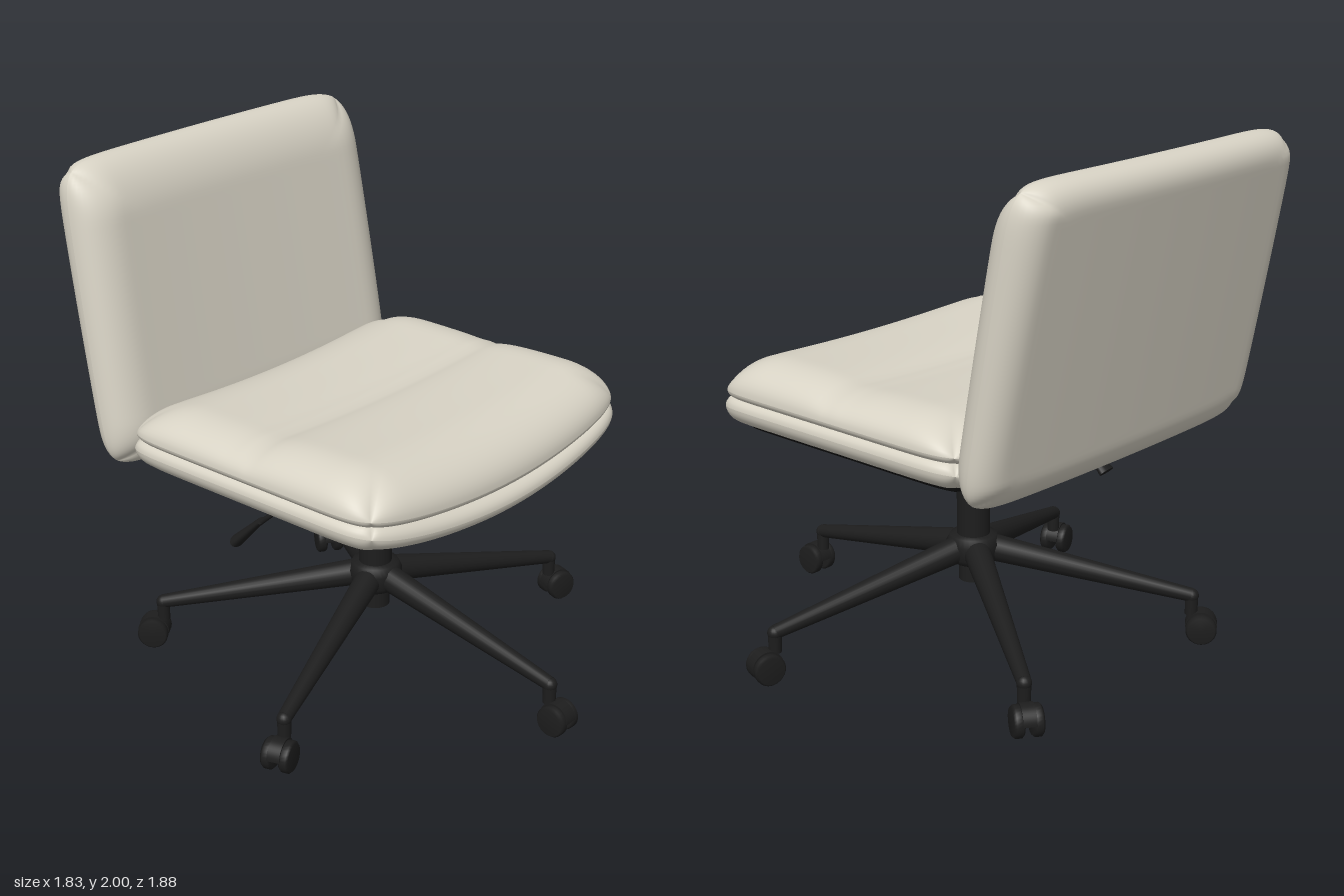
import * as THREE from 'three';

const mat = (name, color, side = THREE.FrontSide) => {
  const m = new THREE.MeshStandardMaterial({ color, side });
  m.name = name;
  return m;
};

// Quarter-round edge: 0 at the rim, 1 once past the rounding
const round = (d) => (d >= 1 ? 1 : Math.sqrt(Math.max(0, 1 - (1 - d) * (1 - d))));

// One half of a stuffed pad: a rounded-square grid that bulges by H, then is bent by warp(x, y, z, bulge)
function padHalf(a, b, n, H, rx, rz, warp) {
  const N = 52, pos = [], idx = [];
  const at = (i) => Math.sin((i / N - 0.5) * Math.PI);
  for (let i = 0; i <= N; i++) {
    for (let j = 0; j <= N; j++) {
      const u = at(j), v = at(i), m = Math.max(Math.abs(u), Math.abs(v));
      let k = m ? Math.pow(Math.abs(u / m) ** n + Math.abs(v / m) ** n, -1 / n) : 1;
      k = 1 + (k - 1) * m ** 4;
      const h = round((a * (1 - Math.abs(u))) / rx) * round((b * (1 - Math.abs(v))) / rz);
      pos.push(...warp(a * u * k, H * h, b * v * k, h));
      if (i < N && j < N) {
        const p = i * (N + 1) + j, q = p + N + 1;
        if (H > 0) idx.push(p, q, p + 1, q, q + 1, p + 1);
        else idx.push(p, p + 1, q, q, p + 1, q + 1);
      }
    }
  }
  const g = new THREE.BufferGeometry();
  g.setAttribute('position', new THREE.Float32BufferAttribute(pos, 3));
  g.setIndex(idx);
  g.computeVertexNormals();
  return g;
}

export function createModel() {
  const cream = mat('cream upholstery', 0xd8d3c5);
  const black = mat('black plastic', 0x1d1d1d);
  const lining = mat('black lining', 0x121212, THREE.DoubleSide);
  const steel = mat('steel', 0xc9c9c9);
  const model = new THREE.Group();
  model.name = 'officeChair';

  const add = (name, geo, material, x = 0, y = 0, z = 0, parent = model) => {
    const mesh = new THREE.Mesh(geo, material);
    mesh.name = name;
    mesh.position.set(x, y, z);
    parent.add(mesh);
    return mesh;
  };
  const cyl = (top, bottom, h, seg = 28) => new THREE.CylinderGeometry(top, bottom, h, seg);
  // Tapered rod from point p to point q
  const rod = (name, p, q, r0, r1, parent = model) => {
    const a = new THREE.Vector3(...p), d = new THREE.Vector3(...q).sub(a);
    const mesh = add(name, cyl(r1, r0, d.length(), 20), black, 0, 0, 0, parent);
    mesh.position.copy(a).addScaledVector(d, 0.5);
    mesh.quaternion.setFromUnitVectors(new THREE.Vector3(0, 1, 0), d.normalize());
    return mesh;
  };

  // Seat: both cushions sag in the middle and bow forward at the front
  const bow = (x, z) => 0.04 + z - 0.055 * (x / 0.75) ** 2 * Math.max(0, z / 0.63) ** 2;
  const seatTop = (x, y, z, h) => {
    const sag = 0.07 * (x / 0.75) ** 2 * (1 - 0.5 * h);
    const seam = h * (0.032 * Math.exp(-Math.abs(z) / 0.08) + 0.018 * THREE.MathUtils.smoothstep(-z, 0, 0.1));
    return [x, 0.975 + sag + y - seam, bow(x, z)];
  };
  const seatBase = (x, y, z) => [x, 0.895 + 0.09 * (x / 0.75) ** 2 + y, bow(x, z)];
  add('seatCushionTop', padHalf(0.755, 0.63, 10, 0.172, 0.2, 0.27, seatTop), cream);
  add('seatCushionUnderside', padHalf(0.755, 0.63, 10, -0.03, 0.05, 0.05,
    (x, y, z) => seatTop(x, y, z, 0)), cream);
  add('seatBaseUpper', padHalf(0.76, 0.64, 10, 0.05, 0.06, 0.06, seatBase), cream);
  add('seatBaseLower', padHalf(0.76, 0.64, 10, -0.055, 0.06, 0.09, seatBase), cream);
  add('seatLining', padHalf(0.7, 0.57, 12, -0.03, 0.02, 0.03,
    (x, y, z) => [x, 0.855 + 0.09 * (x / 0.75) ** 2 + y, bow(x, z) - 0.025]), lining);

  // Backrest: leans back, narrows a little to the top and wraps slightly round the sitter
  const lean = (x, y, z) => {
    const s = -z / 0.567, up = (s + 1) / 2;
    const thick = y < 0 ? 1 + 0.2 * s : 1;
    return [x * (1 - 0.035 * up * up), 1.433 - z, -0.752 - 0.095 * s + y * thick + 0.02 * (x / 0.765) ** 2];
  };
  add('backrestFront', padHalf(0.768, 0.567, 12, 0.122, 0.16, 0.2, lean), cream);
  add('backrestRear', padHalf(0.768, 0.567, 12, -0.09, 0.1, 0.11, lean), cream);

  // Tilt mechanism under the seat
  const side = new THREE.Shape([[0.27, 0.8], [0.24, 0.85], [-0.26, 0.85], [-0.26, 0.81], [-0.12, 0.8],
    [-0.1, 0.765], [0.04, 0.755], [0.07, 0.8]].map((p) => new THREE.Vector2(...p)));
  const housing = new THREE.ExtrudeGeometry(side, { depth: 0.15, bevelEnabled: false });
  housing.translate(0, 0, -0.075).rotateY(-Math.PI / 2);
  add('tiltHousing', housing, black);
  for (const sx of [-1, 1]) {
    for (const [z, turn] of [[0.15, 0.6], [-0.17, -0.6]]) {
      const arm = add('mountingArm', new THREE.BoxGeometry(0.07, 0.035, 0.22), black, sx * 0.12, 0.826, z);
      arm.rotation.y = sx * turn;
    }
    const bolt = add('pivotBolt', cyl(0.016, 0.016, 0.008, 12), steel, sx * 0.077, 0.808, 0);
    bolt.rotation.z = Math.PI / 2;
    add('pivotPlate', new THREE.BoxGeometry(0.012, 0.06, 0.1), black, sx * 0.115, 0.79, 0.08);
  }

  // Tension knob with ridged grip
  const knob = new THREE.Group();
  knob.name = 'tensionKnob';
  knob.position.set(0, 0.69, 0.198);
  knob.rotation.x = -0.16;
  model.add(knob);
  add('knobNeck', cyl(0.05, 0.05, 0.1), black, 0, 0.08, 0, knob);
  add('knobUpper', cyl(0.068, 0.066, 0.09), black, 0, 0.035, 0, knob);
  add('knobGrip', cyl(0.066, 0.058, 0.09), black, 0, -0.062, 0, knob);
  for (let i = 0; i < 16; i++) {
    const t = (i / 16) * Math.PI * 2;
    add('knobRidge', new THREE.BoxGeometry(0.009, 0.08, 0.009), black,
      Math.sin(t) * 0.062, -0.06, Math.cos(t) * 0.062, knob).rotation.y = t;
  }

  // Height lever with flat paddle
  const wire = new THREE.CatmullRomCurve3([[-0.06, 0.795, -0.06], [-0.25, 0.78, -0.075], [-0.44, 0.765, -0.09],
    [-0.465, 0.745, -0.11], [-0.47, 0.69, -0.17]].map((p) => new THREE.Vector3(...p)), false, 'catmullrom', 0.3);
  add('leverWire', new THREE.TubeGeometry(wire, 32, 0.01, 10), black);
  const paddle = rod('leverPaddle', [-0.47, 0.71, -0.155], [-0.48, 0.595, -0.27], 0.022, 0.043);
  paddle.scale.z = 0.55;

  // Gas lift column
  add('liftCollar', cyl(0.06, 0.045, 0.06), black, 0, 0.74, 0);
  add('liftPiston', cyl(0.036, 0.036, 0.12), steel, 0, 0.69, 0);
  add('liftColumn', cyl(0.064, 0.064, 0.33), black, 0, 0.52, 0);
  add('liftFoot', cyl(0.056, 0.056, 0.14), black, 0, 0.295, 0);

  // Five-star base
  const hub = [[0.05, 0.3], [0.08, 0.3], [0.1, 0.325], [0.105, 0.38], [0.09, 0.41], [0.06, 0.415]];
  add('baseHub', new THREE.LatheGeometry(hub.map((p) => new THREE.Vector2(...p)), 32), black);
  for (let i = 0; i < 5; i++) {
    const leg = new THREE.Group();
    leg.name = 'baseLeg';
    leg.rotation.y = (i * Math.PI * 2) / 5;
    model.add(leg);
    rod('legArm', [0, 0.358, 0.06], [0, 0.188, 0.845], 0.053, 0.027, leg);
    add('legTip', new THREE.SphereGeometry(0.028, 16, 12), black, 0, 0.186, 0.845, leg);
    add('casterStem', cyl(0.026, 0.024, 0.08), black, 0, 0.15, 0.845, leg);
    // Twin-wheel caster
    for (const sx of [-1, 1]) {
      const rim = [[0, -0.02], [0.052, -0.02], [0.06, -0.012], [0.06, 0.01], [0.052, 0.02], [0, 0.02]];
      const wheel = add('casterWheel', new THREE.LatheGeometry(rim.map((p) => new THREE.Vector2(...p)), 28),
        black, sx * 0.035, 0.06, 0.885, leg);
      wheel.rotation.z = Math.PI / 2;
    }
    const hood = add('casterHood', new THREE.CylinderGeometry(0.062, 0.062, 0.05, 24, 1, false, 0, Math.PI),
      black, 0, 0.064, 0.885, leg);
    hood.rotation.z = Math.PI / 2;
    add('casterAxle', new THREE.BoxGeometry(0.034, 0.05, 0.05), black, 0, 0.075, 0.875, leg);
  }
  return model;
}
